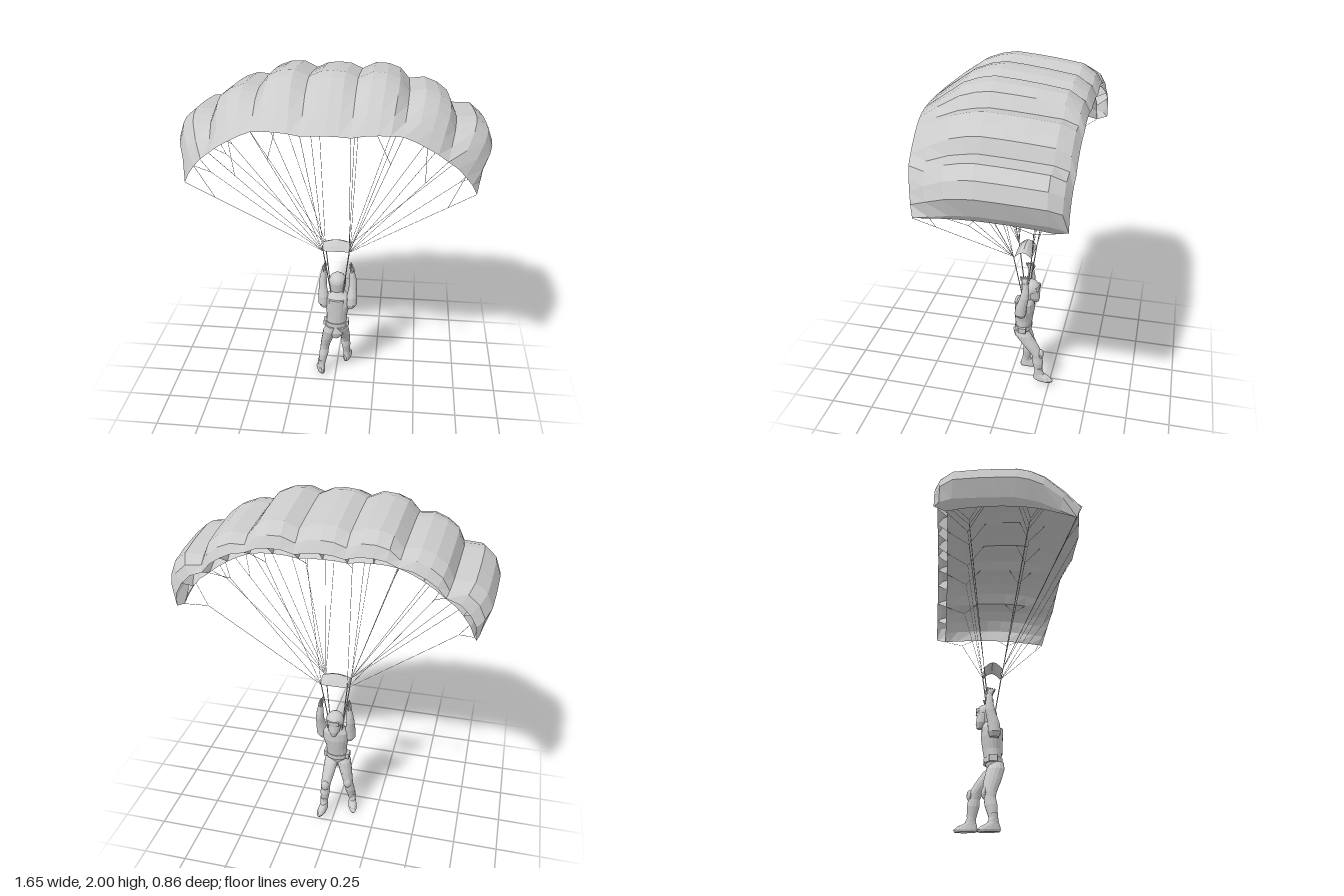
import * as THREE from 'three';
import { mergeGeometries } from 'three/addons/utils/BufferGeometryUtils.js';

const cloth = new THREE.MeshStandardMaterial({ color: 0xcccccc, flatShading: true, side: THREE.DoubleSide });
const solid = new THREE.MeshStandardMaterial({ color: 0xcccccc, flatShading: true });
const V = (x, y, z) => new THREE.Vector3(x, y, z);
const lerp = THREE.MathUtils.lerp;

function add(parent, name, geo, mat = solid) {
  const m = new THREE.Mesh(geo, mat);
  m.name = name;
  parent.add(m);
  return m;
}

// Surface from a point function over a grid of (i, j)
function grid(ni, nj, fn) {
  const pos = [], idx = [];
  for (let i = 0; i <= ni; i++) for (let j = 0; j <= nj; j++) pos.push(...fn(i, j).toArray());
  for (let i = 0; i < ni; i++) for (let j = 0; j < nj; j++) {
    const a = i * (nj + 1) + j, b = a + nj + 1;
    idx.push(a, b, a + 1, b, b + 1, a + 1);
  }
  const g = new THREE.BufferGeometry();
  g.setAttribute('position', new THREE.Float32BufferAttribute(pos, 3));
  g.setIndex(idx);
  g.computeVertexNormals();
  return g;
}

// Closed body from horizontal rings [x, y, z, rx, rz], listed bottom to top
function loft(rings, sides = 14) {
  const first = rings[0], last = rings[rings.length - 1];
  const all = [[first[0], first[1], first[2], 0, 0], ...rings, [last[0], last[1], last[2], 0, 0]];
  return grid(all.length - 1, sides, (i, j) => {
    const [x, y, z, rx, rz] = all[i], a = j / sides * Math.PI * 2;
    return V(x + Math.cos(a) * rx, y, z + Math.sin(a) * rz);
  });
}

function rod(a, b, r, sides = 4) {
  const g = new THREE.CylinderGeometry(r, r, a.distanceTo(b), sides);
  g.applyQuaternion(new THREE.Quaternion().setFromUnitVectors(V(0, 1, 0), b.clone().sub(a).normalize()));
  return g.translate((a.x + b.x) / 2, (a.y + b.y) / 2, (a.z + b.z) / 2);
}

// Canopy seams from the centre outwards: x, y, lean, trailing z, full drop in x and y
const SEAMS = [
  [0.125, 1.965, 7, 0.425, -0.005, -0.18],
  [0.385, 1.9, 22, 0.385, -0.02, -0.115],
  [0.63, 1.77, 42, 0.36, -0.045, -0.11],
  [0.79, 1.54, 66, 0.3, -0.05, -0.07],
];
const BULGE = [0.035, 0.06, 0.06, 0.105];
// Chord stations: fraction, top drop, bottom drop, top puff, bottom puff
const CHORD = [
  [0, 0.75, 1, 0.45, 0.2], [0.035, 0.5, 0.95, 0.75, 0.3], [0.12, 0.26, 0.8, 0.95, 0.45], [0.29, 0.14, 0.62, 1, 0.65],
  [0.42, 0.06, 0.55, 1, 0.75], [0.55, 0, 0.52, 1, 0.75], [0.64, 0.08, 0.55, 1, 0.7], [0.74, 0.24, 0.62, 0.9, 0.55],
  [0.88, 0.65, 0.82, 0.6, 0.3], [1, 1, 1, 0.15, 0.15],
];
const STEPS = 4, SPAN = 7 * STEPS;

const seam = (k) => {
  const s = SEAMS[k < 4 ? 3 - k : k - 4], d = k < 4 ? -1 : 1;
  return [s[0] * d, s[1], s[2] * d, s[3], s[4] * d, s[5]];
};

function canopyPoint(i, j, bottom) {
  const cell = Math.min(6, Math.floor(i / STEPS)), t = i / STEPS - cell;
  const a = seam(cell), b = seam(cell + 1);
  const [x, y, lean, zEnd, dx, dy] = a.map((v, n) => lerp(v, b[n], t));
  const [u, top, low, topPuff, lowPuff] = CHORD[j];
  const drop = bottom ? low : top;
  const puff = BULGE[Math.abs(cell - 3)] * Math.pow(Math.max(0, Math.sin(Math.PI * t)), 0.6) * (bottom ? lowPuff : topPuff);
  const r = THREE.MathUtils.degToRad(lean);
  // The lower lip sits behind the upper one, so the cell mouths face down
  const z = lerp(bottom ? -0.37 : -0.43, zEnd, u);
  return V(x + dx * drop + Math.sin(r) * puff, y + dy * drop + Math.cos(r) * puff, z);
}

function buildCanopy(root) {
  const g = new THREE.Group();
  g.name = 'canopy';
  root.add(g);
  const n = CHORD.length - 1;
  add(g, 'topSkin', grid(SPAN, n, (i, j) => canopyPoint(i, j, false)), cloth);
  add(g, 'bottomSkin', grid(SPAN, n, (i, j) => canopyPoint(i, j, true)), cloth);
  for (let i = 0; i <= SPAN; i += 2)
    add(g, 'rib', grid(1, n, (k, j) => canopyPoint(i, j, k === 1)), cloth);
}

function buildRigging(root) {
  const lines = [], straps = [];
  const line = (a, b) => lines.push(rod(a, b, 0.0013, 3));
  for (let k = 0; k < 8; k++) {
    const x = k < 4 ? -0.068 : 0.083;
    const rear = V(x, 0.92, -0.03), fore = V(x, 0.92, -0.135);
    const at = (j) => canopyPoint(k * STEPS, j, true);
    // Each main line forks below the canopy
    for (const [from, j1, j2] of [[fore, 0, 3], [rear, 5, 7]]) {
      const p = at(j1), q = at(j2);
      const fork = from.clone().lerp(p.clone().add(q).multiplyScalar(0.5), 0.87);
      line(from, fork);
      line(fork, p);
      line(fork, q);
    }
    // Steering lines reach the trailing edge
    const tail = at(9), split = rear.clone().lerp(tail, 0.8);
    line(rear, tail);
    if (k !== 3 && k !== 4) line(split, canopyPoint(k * STEPS + (k < 4 ? 2 : -2), 9, true));
  }
  add(root, 'suspensionLines', mergeGeometries(lines));

  // Slider: small arched sheet between the risers
  add(root, 'slider', grid(6, 6, (i, j) => {
    const u = i / 6, t = j / 6, across = Math.sin(Math.PI * u);
    return V(lerp(-0.072, 0.088, u), 0.918 + (0.034 + 0.02 * across) * Math.sin(Math.PI * t), lerp(-0.035, -0.135, t));
  }), cloth);

  // Risers from slider corners to the shoulders
  for (const [x, x2] of [[-0.068, -0.028], [0.083, 0.043]])
    for (const z of [-0.03, -0.135]) straps.push(rod(V(x, 0.92, z), V(x2, 0.6, lerp(z, -0.09, 0.85)), 0.003));
  add(root, 'risers', mergeGeometries(straps));
}

function buildJumper(root) {
  const g = new THREE.Group();
  g.name = 'jumper';
  root.add(g);
  add(g, 'torso', loft([
    [0.005, 0.305, -0.06, 0.025, 0.03], [0.005, 0.345, -0.062, 0.06, 0.043], [0.005, 0.4, -0.077, 0.062, 0.046],
    [0.008, 0.46, -0.081, 0.063, 0.052], [0.01, 0.53, -0.086, 0.078, 0.058], [0.01, 0.58, -0.09, 0.078, 0.052],
    [0.01, 0.605, -0.098, 0.05, 0.038], [0.01, 0.64, -0.11, 0.026, 0.026],
  ], 16));
  add(g, 'belt', loft([[0.005, 0.385, -0.077, 0.068, 0.052], [0.005, 0.413, -0.077, 0.068, 0.052]], 16));
  const pack = add(g, 'backPack', new THREE.CylinderGeometry(0.045, 0.036, 0.14, 12));
  pack.scale.z = 0.4;
  pack.position.set(0.008, 0.51, -0.041);
  for (const x of [-0.06, 0.07]) {
    const pouch = add(g, 'beltPouch', new THREE.BoxGeometry(0.024, 0.034, 0.045));
    pouch.position.set(x, 0.4, -0.08);
  }

  // Head and helmet, facing the direction of flight
  add(g, 'face', loft([
    [0.008, 0.585, -0.15, 0.014, 0.018], [0.008, 0.615, -0.136, 0.033, 0.038], [0.008, 0.66, -0.124, 0.04, 0.044],
    [0.008, 0.69, -0.122, 0.04, 0.045],
  ]));
  const helmet = add(g, 'helmet', new THREE.SphereGeometry(0.053, 16, 10, 0, Math.PI * 2, 0, Math.PI * 0.58), cloth);
  helmet.position.set(0.008, 0.674, -0.115);
  helmet.scale.z = 1.08;
  const guard = add(g, 'helmetNeckGuard', new THREE.CylinderGeometry(0.053, 0.044, 0.055, 12, 1, true, -Math.PI * 0.6, Math.PI * 1.2), cloth);
  guard.position.set(0.008, 0.64, -0.113);
  const brim = add(g, 'visor', new THREE.BoxGeometry(0.068, 0.02, 0.02));
  brim.position.set(0.008, 0.682, -0.163);

  // Raised arms with gripping hands
  for (const s of [-1, 1]) {
    const at = (x) => 0.012 + s * x;
    add(g, 'arm', loft([
      [at(0.078), 0.515, -0.075, 0.022, 0.024], [at(0.085), 0.54, -0.075, 0.033, 0.034], [at(0.087), 0.59, -0.08, 0.031, 0.033],
      [at(0.091), 0.64, -0.094, 0.025, 0.028], [at(0.092), 0.665, -0.1, 0.024, 0.027], [at(0.09), 0.7, -0.104, 0.021, 0.023],
      [at(0.085), 0.755, -0.104, 0.014, 0.015],
    ]));
    add(g, 'hand', loft([
      [at(0.085), 0.745, -0.104, 0.011, 0.016], [at(0.084), 0.77, -0.1, 0.014, 0.022], [at(0.08), 0.788, -0.095, 0.01, 0.018],
    ], 8));
    for (let f = 0; f < 4; f++) {
      const z = -0.118 + f * 0.013;
      add(g, 'finger', rod(V(at(0.084), 0.775, z), V(at(0.077), 0.803 - f * 0.003, z + 0.004), 0.005, 5));
    }
    add(g, 'thumb', rod(V(at(0.08), 0.762, -0.12), V(at(0.068), 0.785, -0.128), 0.005, 5));
  }

  // Legs: hip, knee and ankle as [x, y, z]; dir turns the foot outwards
  const legs = [
    { hip: [-0.027, 0.37, -0.06], knee: [-0.068, 0.21, -0.1], ankle: [-0.09, 0.05, -0.075], dir: 0.3, pitch: -0.08 },
    { hip: [0.037, 0.37, -0.065], knee: [0.054, 0.225, -0.172], ankle: [0.062, 0.078, -0.185], dir: -0.15, pitch: 0 },
  ];
  for (const { hip, knee, ankle, dir, pitch } of legs) {
    const mix = (a, b, t, rx, rz) => [...a.map((v, i) => lerp(v, b[i], t)), rx, rz];
    add(g, 'leg', loft([
      mix(ankle, knee, -0.08, 0.019, 0.021), mix(ankle, knee, 0.2, 0.021, 0.023), mix(ankle, knee, 0.6, 0.029, 0.034),
      mix(ankle, knee, 0.85, 0.027, 0.031), mix(knee, hip, 0.05, 0.03, 0.038), mix(knee, hip, 0.45, 0.037, 0.047),
      mix(knee, hip, 0.85, 0.042, 0.049), mix(knee, hip, 1.1, 0.032, 0.035),
    ]));
    const pad = add(g, 'kneePad', new THREE.SphereGeometry(0.027, 12, 8));
    pad.scale.set(0.9, 1.25, 0.7);
    pad.position.set(knee[0], knee[1], knee[2] - 0.022);
    const boot = add(g, 'boot', loft([
      [0, -0.043, -0.03, 0.022, 0.06], [0, -0.032, -0.03, 0.026, 0.065], [0, -0.015, -0.022, 0.024, 0.054],
      [0, 0.005, -0.004, 0.021, 0.03], [0, 0.03, 0, 0.022, 0.024], [0, 0.05, 0, 0.023, 0.025],
    ]));
    boot.position.set(ankle[0], ankle[1], ankle[2]);
    boot.rotation.set(pitch, dir, 0, 'YXZ');
  }
}

export function createModel() {
  const root = new THREE.Group();
  root.name = 'parachutist';
  buildCanopy(root);
  buildRigging(root);
  buildJumper(root);
  return root;
}
